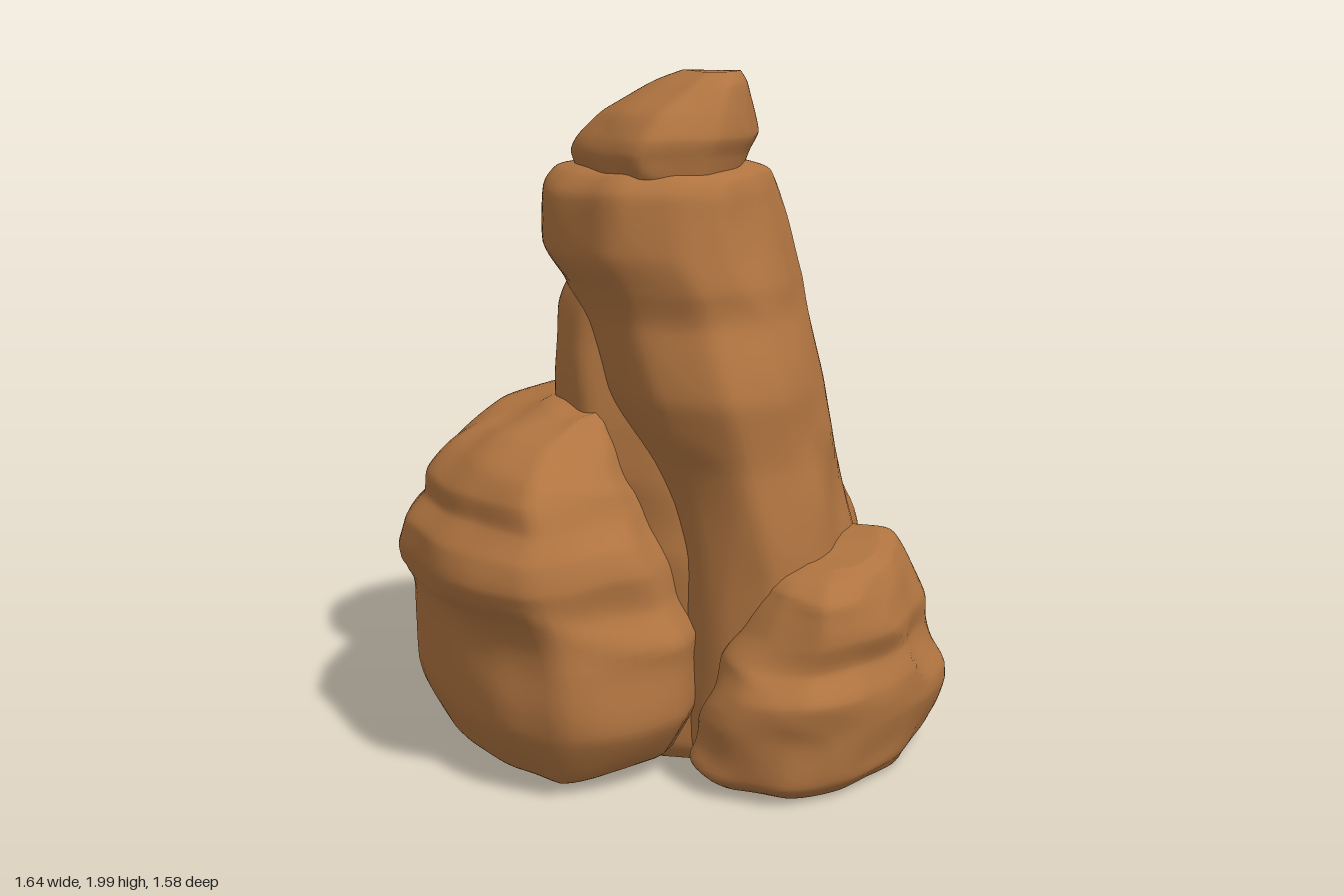
import * as THREE from 'three';

// Smooth seeded value noise in the range -1..1
function hash(x, y, z) {
  let h = Math.imul(x, 374761393) ^ Math.imul(y, 668265263) ^ Math.imul(z, 1274126177);
  h = Math.imul(h ^ (h >>> 13), 1103515245);
  return ((h ^ (h >>> 16)) >>> 0) / 2147483648 - 1;
}
function noise(x, y, z) {
  const cell = [x, y, z].map(Math.floor);
  const [u, v, w] = [x, y, z].map((c, i) => { const f = c - cell[i]; return f * f * (3 - 2 * f); });
  let sum = 0;
  for (let i = 0; i < 2; i++) for (let j = 0; j < 2; j++) for (let k = 0; k < 2; k++) {
    sum += hash(cell[0] + i, cell[1] + j, cell[2] + k) * (i ? u : 1 - u) * (j ? v : 1 - v) * (k ? w : 1 - w);
  }
  return sum;
}

// Plan outline scaled to the unit square and spaced evenly round the rock
function unitOutline(points, count) {
  const curve = new THREE.CatmullRomCurve3(points.map(([x, z]) => new THREE.Vector3(x, 0, z)), true, 'catmullrom', 0.3);
  const pts = curve.getSpacedPoints(count).slice(0, count);
  const box = new THREE.Box3().setFromPoints(pts);
  const size = box.getSize(new THREE.Vector3());
  return pts.map(p => [(p.x - box.min.x) / size.x, (p.z - box.min.z) / size.z]);
}

// Loft a plan outline through levels [y, xMin, xMax, zMin, zMax], then weather it.
// grain = [horizontal, vertical] noise frequency
function rock(name, material, outline, levels, { rough = 0.025, grain = [3, 8], seed = 0 } = {}) {
  const around = 96, rows = levels.length * 7;
  const plan = unitOutline(outline, around);
  const curve = (a, b) => new THREE.CatmullRomCurve3(
    levels.map(l => new THREE.Vector3(l[a], l[0], l[b])), false, 'catmullrom', 0.35);
  const xs = curve(1, 2), zs = curve(3, 4);
  const rings = [];
  for (let j = 0; j <= rows; j++) rings.push([j / rows, 1]);
  for (const s of [0.8, 0.5, 0.25, 0]) { rings.unshift([0, s]); rings.push([1, s]); }

  const pos = [], index = [];
  for (const [t, s] of rings) {
    const X = xs.getPoint(t), Z = zs.getPoint(t);
    const cx = (X.x + X.z) / 2, cz = (Z.x + Z.z) / 2;
    for (const [u, v] of plan) {
      const dx = (u - 0.5) * (X.z - X.x) * s, dz = (v - 0.5) * (Z.z - Z.x) * s;
      const x = cx + dx, y = X.y, z = cz + dz;
      // Sloping strata with sharp grooves, over broad lumps
      const warp = noise(x * 2 + seed, y * 2, z * 2) * 0.5;
      const strata = 0.5 - 2 * Math.abs(noise(x * grain[0] + seed, (y + 0.2 * x) * grain[1] + warp, z * grain[0]));
      const lumps = noise(x * 5 + seed, y * 5 + 9, z * 5);
      const push = rough * (0.7 * strata + 0.8 * lumps);
      const r = Math.hypot(dx, dz) || 1;
      const lift = t === 0 ? 0 : rough * 0.5 * noise(x * 6, y * 3 + seed, z * 6);
      pos.push(x + dx / r * push * s, Math.min(2, Math.max(0, y + lift)), z + dz / r * push * s);
    }
  }
  for (let j = 0; j < rings.length - 1; j++) for (let i = 0; i < around; i++) {
    const a = j * around + i, b = j * around + (i + 1) % around;
    index.push(a, a + around, b, b, a + around, b + around);
  }
  const geometry = new THREE.BufferGeometry();
  geometry.setAttribute('position', new THREE.Float32BufferAttribute(pos, 3));
  geometry.setIndex(index);
  geometry.computeVertexNormals();
  const mesh = new THREE.Mesh(geometry, material);
  mesh.name = name;
  return mesh;
}

export function createModel() {
  const group = new THREE.Group();
  group.name = 'rockFormation';
  const stone = new THREE.MeshStandardMaterial({ color: 0xb07440 });
  stone.name = 'sandstone';

  const columnPlan = [[0.38, 0.1], [0.33, 0.3], [0.2, 0.5], [0.02, 0.58], [-0.2, 0.5], [-0.34, 0.28],
    [-0.38, 0.02], [-0.28, -0.2], [-0.1, -0.34], [0.12, -0.32], [0.3, -0.15]];

  // Tall leaning column
  group.add(rock('column', stone, columnPlan, [
    [0.01, -0.05, 0.5, -0.4, 0.48], [0.08, -0.08, 0.57, -0.45, 0.55], [0.35, -0.08, 0.6, -0.45, 0.58],
    [0.65, -0.08, 0.55, -0.44, 0.58], [0.9, -0.15, 0.5, -0.42, 0.57], [1.1, -0.22, 0.46, -0.4, 0.6],
    [1.3, -0.28, 0.41, -0.38, 0.54], [1.4, -0.32, 0.39, -0.37, 0.55], [1.5, -0.38, 0.36, -0.34, 0.55],
    [1.66, -0.37, 0.31, -0.3, 0.53], [1.72, -0.32, 0.28, -0.27, 0.48], [1.74, -0.22, 0.2, -0.18, 0.4],
  ], { rough: 0.018, grain: [4, 2.5], seed: 3 }));

  // Broad slab supporting the column from behind
  group.add(rock('rearSlab', stone, [[0.63, 0], [0.5, 0.3], [0.1, 0.45], [-0.25, 0.35], [-0.35, 0.05],
    [-0.28, -0.3], [-0.05, -0.5], [0.2, -0.57], [0.38, -0.48], [0.53, -0.28]], [
    [0.01, -0.25, 0.52, -0.46, 0.4], [0.08, -0.3, 0.6, -0.54, 0.44], [0.3, -0.32, 0.64, -0.57, 0.45],
    [0.65, -0.33, 0.56, -0.55, 0.42], [0.9, -0.34, 0.49, -0.5, 0.4], [1.1, -0.35, 0.45, -0.44, 0.36],
    [1.3, -0.34, 0.4, -0.44, 0.32], [1.4, -0.3, 0.36, -0.41, 0.3], [1.46, -0.22, 0.28, -0.33, 0.24],
  ], { rough: 0.022, grain: [3, 3], seed: 11 }));

  // Tilted boulder balanced on the column
  group.add(rock('capBoulder', stone, [[0.24, 0.1], [0.2, 0.3], [0.1, 0.46], [-0.1, 0.49], [-0.22, 0.33],
    [-0.29, 0.1], [-0.24, -0.1], [-0.1, -0.2], [0.06, -0.2], [0.18, -0.08]], [
    [1.64, -0.2, 0.15, -0.1, 0.38], [1.7, -0.26, 0.2, -0.22, 0.46], [1.77, -0.29, 0.23, -0.21, 0.48],
    [1.82, -0.27, 0.25, -0.18, 0.48], [1.89, -0.2, 0.24, -0.15, 0.44], [1.96, -0.06, 0.22, -0.12, 0.37],
    [1.995, 0.03, 0.2, -0.07, 0.28],
  ], { rough: 0.018, grain: [4, 5], seed: 23 }));

  // Large layered boulder on the right side
  group.add(rock('largeBoulder', stone, [[0.22, -0.6], [0.15, -0.1], [0.1, 0.3], [0, 0.58], [-0.22, 0.7],
    [-0.37, 0.75], [-0.55, 0.62], [-0.72, 0.4], [-0.82, 0.18], [-0.74, -0.2], [-0.57, -0.55],
    [-0.35, -0.72], [-0.08, -0.79], [0.1, -0.76]], [
    [0.02, -0.62, 0.06, -0.62, 0.55], [0.06, -0.68, 0.12, -0.7, 0.64], [0.2, -0.73, 0.2, -0.79, 0.73],
    [0.38, -0.76, 0.22, -0.78, 0.74], [0.52, -0.78, 0.16, -0.76, 0.73], [0.62, -0.82, 0.12, -0.76, 0.76],
    [0.7, -0.79, 0.07, -0.74, 0.74], [0.77, -0.72, 0.03, -0.75, 0.68], [0.84, -0.71, -0.02, -0.71, 0.64],
    [0.92, -0.65, -0.06, -0.6, 0.56], [0.98, -0.56, -0.1, -0.5, 0.46], [1.03, -0.38, -0.13, -0.32, 0.34],
  ], { rough: 0.028, grain: [2.2, 6], seed: 37 }));

  // Small layered boulder at the front left
  group.add(rock('smallBoulder', stone, [[0.58, 0.02], [0.82, 0.1], [0.82, 0.27], [0.7, 0.52], [0.5, 0.72],
    [0.3, 0.79], [0.1, 0.72], [0.02, 0.58], [0.2, 0.3], [0.4, 0.08]], [
    [0.02, 0.08, 0.72, 0.06, 0.7], [0.07, 0.03, 0.76, 0.04, 0.75], [0.2, 0.05, 0.82, 0.02, 0.77],
    [0.3, 0.1, 0.79, 0.02, 0.79], [0.38, 0.13, 0.77, 0.03, 0.73], [0.46, 0.19, 0.76, 0.03, 0.73],
    [0.56, 0.23, 0.71, 0.03, 0.71], [0.62, 0.27, 0.67, 0.06, 0.66], [0.645, 0.34, 0.61, 0.12, 0.58],
  ], { rough: 0.022, grain: [3, 8], seed: 51 }));

  return group;
}
